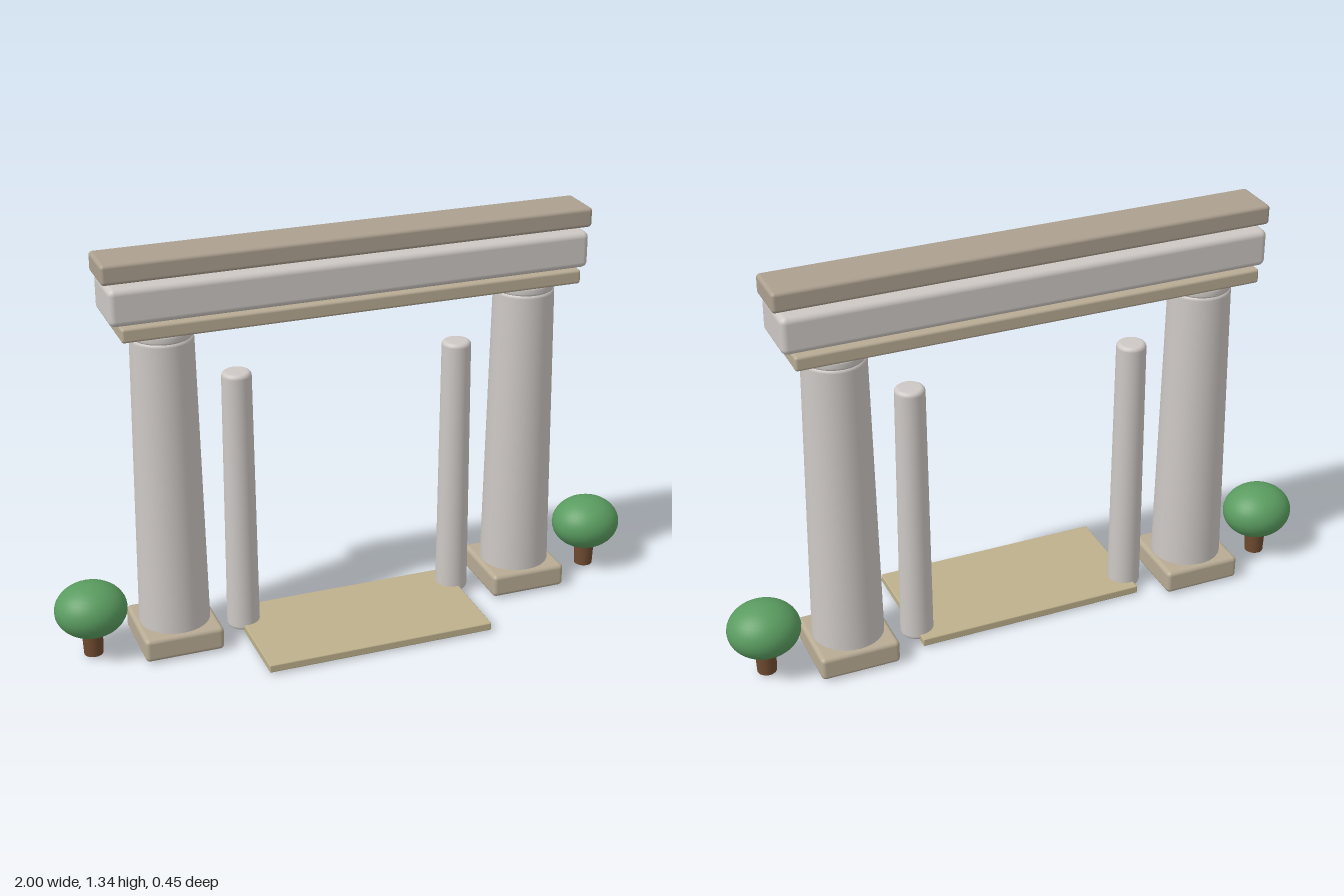
import * as THREE from 'three';
import { RoundedBoxGeometry } from 'three/addons/geometries/RoundedBoxGeometry.js';

const AXIS_Z = -0.097; // shared depth of columns, posts and bushes

const mat = (color) => new THREE.MeshStandardMaterial({ color });
const stone = mat(0xcdc8c4);
const tan = mat(0xaca08f);
const paleTan = mat(0xb8ab94);
const sand = mat(0xbdb08c);
const leaf = mat(0x5a9c60);
const bark = mat(0x6f4b30);

function add(parent, name, geometry, material, x, y, z) {
  const mesh = new THREE.Mesh(geometry, material);
  mesh.name = name;
  mesh.position.set(x, y, z);
  parent.add(mesh);
  return mesh;
}

// Block with softened edges, given by its extents
function block(parent, name, material, [x0, x1], [y0, y1], [z0, z1], bevel) {
  const geometry = new RoundedBoxGeometry(x1 - x0, y1 - y0, z1 - z0, 3, bevel);
  return add(parent, name, geometry, material, (x0 + x1) / 2, (y0 + y1) / 2, (z0 + z1) / 2);
}

// Tapered round shaft with rounded rims at both ends
function shaft(rBottom, rTop, y0, y1, bevel) {
  const points = [new THREE.Vector2(0, y0)];
  const steps = 4;
  for (let i = 0; i <= steps; i++) {
    const a = (i / steps) * Math.PI / 2;
    points.push(new THREE.Vector2(rBottom - bevel * (1 - Math.sin(a)), y0 + bevel * (1 - Math.cos(a))));
  }
  for (let i = 0; i <= steps; i++) {
    const a = (i / steps) * Math.PI / 2;
    points.push(new THREE.Vector2(rTop - bevel * (1 - Math.cos(a)), y1 - bevel * (1 - Math.sin(a))));
  }
  points.push(new THREE.Vector2(0, y1));
  return new THREE.LatheGeometry(points, 40);
}

function createColumn(x) {
  const group = new THREE.Group();
  group.name = 'column';
  block(group, 'columnBase', paleTan, [-0.131, 0.131], [0.01, 0.09], [-0.131, 0.131], 0.015);
  add(group, 'columnShaft', shaft(0.117, 0.1, 0.003, 1.08, 0.012), stone, 0, 0, 0);
  add(group, 'columnNeck', shaft(0.098, 0.098, 1.072, 1.108, 0.012), stone, 0, 0, 0);
  group.position.set(x, 0, AXIS_Z);
  return group;
}

function createBush(x) {
  const group = new THREE.Group();
  group.name = 'bush';
  add(group, 'trunk', new THREE.CylinderGeometry(0.036, 0.031, 0.12, 24), bark, 0, 0.07, 0);
  const foliage = add(group, 'foliage', new THREE.SphereGeometry(1, 32, 20), leaf, 0, 0.171, 0);
  foliage.scale.set(0.118, 0.091, 0.108);
  group.position.set(x, 0, AXIS_Z);
  return group;
}

export function createModel() {
  const model = new THREE.Group();
  model.name = 'gateway';

  // Mirrored columns, inner posts and bushes
  for (const side of [-1, 1]) {
    model.add(createColumn(side * 0.608));
    add(model, 'innerPost', shaft(0.054, 0.048, 0.015, 0.922, 0.014), stone, side * 0.374, 0, AXIS_Z);
    model.add(createBush(side * 0.882));
  }

  // Stacked beams across the top
  block(model, 'lowerBeam', paleTan, [-0.757, 0.757], [1.105, 1.152], [-0.207, 0.015], 0.009);
  block(model, 'middleBeam', stone, [-0.788, 0.788], [1.152, 1.272], [-0.192, 0.004], 0.02);
  block(model, 'upperBeam', tan, [-0.804, 0.804], [1.281, 1.346], [-0.171, -0.013], 0.012);

  // Threshold slab between the posts
  block(model, 'threshold', sand, [-0.387, 0.382], [0.01, 0.037], [-0.18, 0.226], 0.004);

  return model;
}
